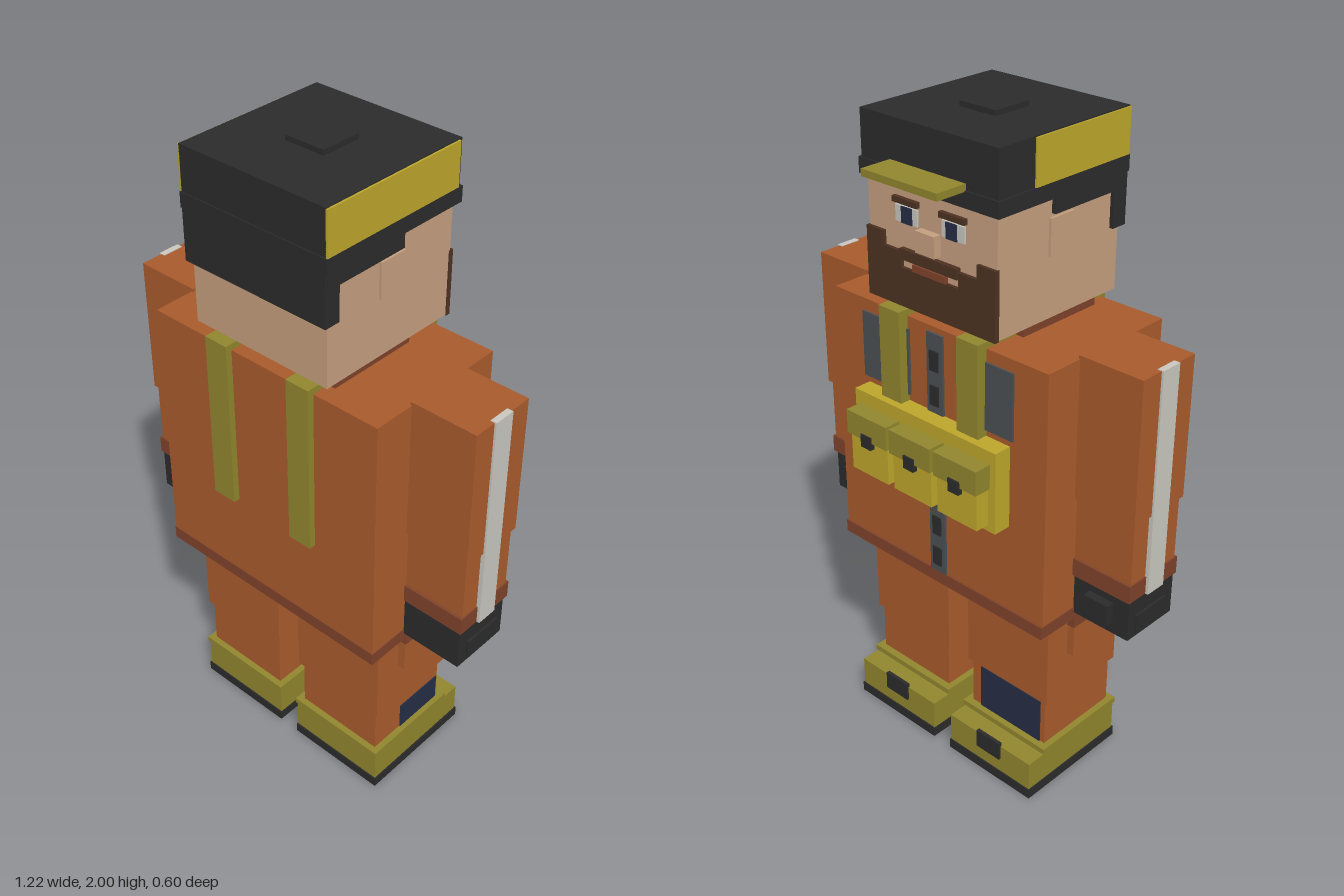
import * as THREE from 'three';

const mat = (name, color) => {
  const m = new THREE.MeshStandardMaterial({ color });
  m.name = name;
  return m;
};

export function createModel() {
  const model = new THREE.Group();
  model.name = 'workerFigure';
  const orange = mat('orange cloth', 0xa85a2c), rust = mat('rust trim', 0x7e422a);
  const olive = mat('olive', 0x90852d), yellow = mat('yellow', 0xbca52b);
  const black = mat('black', 0x2b2b2b), skin = mat('skin', 0xc49e7e);
  const brown = mat('brown hair', 0x4d3122), white = mat('pale grey', 0xc8c6be);
  const grey = mat('dark grey', 0x4c4f52), navy = mat('navy', 0x262e45);

  // Box given by its limits on each axis
  const box = (name, m, x0, x1, y0, y1, z0, z1) => {
    const mesh = new THREE.Mesh(new THREE.BoxGeometry(x1 - x0, y1 - y0, z1 - z0), m);
    mesh.position.set((x0 + x1) / 2, (y0 + y1) / 2, (z0 + z1) / 2);
    mesh.name = name;
    model.add(mesh);
  };
  // The same box on both sides of the body
  const pair = (name, m, x0, x1, ...rest) => {
    box(name + 'Left', m, x0, x1, ...rest);
    box(name + 'Right', m, -x1, -x0, ...rest);
  };

  // Head and face (the face looks along -z)
  box('head', skin, -0.233, 0.233, 1.475, 1.9, -0.19, 0.28);
  pair('ear', skin, 0.23, 0.241, 1.65, 1.755, 0.0, 0.09);
  box('nose', skin, -0.035, 0.035, 1.65, 1.71, -0.215, -0.188);
  pair('eyeWhite', white, 0.045, 0.125, 1.71, 1.755, -0.196, -0.189);
  pair('iris', navy, 0.062, 0.1, 1.71, 1.755, -0.2, -0.195);
  pair('eyebrow', brown, 0.04, 0.13, 1.762, 1.778, -0.203, -0.189);
  box('beard', brown, -0.235, 0.235, 1.473, 1.585, -0.2, -0.185);
  pair('sideburn', brown, 0.17, 0.235, 1.585, 1.67, -0.2, -0.185);
  pair('beardCheek', brown, 0.105, 0.17, 1.585, 1.63, -0.2, -0.185);
  box('moustache', brown, -0.105, 0.105, 1.61, 1.64, -0.205, -0.185);
  box('mouth', rust, -0.06, 0.06, 1.585, 1.605, -0.203, -0.185);

  // Cap
  box('capCrown', black, -0.245, 0.243, 1.81, 1.985, -0.2, 0.293);
  box('capBand', black, -0.25, 0.25, 1.81, 1.855, -0.205, 0.296);
  box('capBack', black, -0.245, 0.243, 1.66, 1.81, 0.245, 0.296);
  pair('capSideFlap', black, 0.225, 0.245, 1.765, 1.81, 0.01, 0.29);
  box('capSidePanelLeft', yellow, 0.242, 0.249, 1.855, 1.982, -0.19, 0.293);
  box('capSidePanelRight', yellow, -0.25, -0.244, 1.855, 1.982, -0.07, 0.293);
  box('capButton', black, -0.065, 0.062, 1.98, 2.0, -0.02, 0.105);
  box('capVisor', olive, -0.135, 0.135, 1.852, 1.872, -0.3, -0.19);

  // Jacket
  box('collar', rust, -0.21, 0.21, 1.42, 1.478, -0.065, 0.225);
  box('torso', orange, -0.4, 0.4, 0.64, 1.437, -0.18, 0.28);
  box('hem', rust, -0.402, 0.402, 0.615, 0.655, -0.186, 0.282);
  box('zipStrip', grey, -0.03, 0.03, 0.655, 1.42, -0.187, -0.179);
  for (let i = 0; i < 7; i++) {
    box('zipTooth', black, -0.016, 0.016, 0.68 + i * 0.105, 0.74 + i * 0.105, -0.192, -0.186);
  }
  pair('chestPatch', grey, 0.1, 0.285, 1.2, 1.4, -0.186, -0.179);

  // Arms and gloves
  pair('upperArm', orange, 0.395, 0.603, 1.02, 1.447, -0.06, 0.15);
  pair('forearm', orange, 0.39, 0.596, 0.82, 1.02, -0.05, 0.142);
  pair('cuff', rust, 0.388, 0.6, 0.77, 0.825, -0.058, 0.15);
  pair('glove', black, 0.4, 0.594, 0.638, 0.77, -0.048, 0.145);
  pair('thumb', black, 0.455, 0.54, 0.675, 0.74, -0.075, -0.045);
  pair('glovePad', black, 0.59, 0.601, 0.65, 0.712, -0.02, 0.11);
  pair('sleeveStripe', white, 0.59, 0.609, 0.77, 1.449, 0.012, 0.08);

  // Harness and pouches
  pair('strapBack', olive, 0.108, 0.186, 0.93, 1.456, 0.275, 0.3);
  pair('strapShoulder', olive, 0.108, 0.186, 1.43, 1.456, -0.213, 0.28);
  pair('strapChest', olive, 0.108, 0.186, 1.1, 1.456, -0.213, -0.178);
  box('harnessPanel', yellow, -0.272, 0.272, 0.93, 1.18, -0.236, -0.178);
  for (const x of [-0.172, 0, 0.172]) {
    box('pouch', yellow, x - 0.074, x + 0.074, 0.95, 1.075, -0.28, -0.234);
    box('pouchFlap', olive, x - 0.08, x + 0.08, 1.066, 1.14, -0.29, -0.234);
    box('pouchBuckle', black, x - 0.02, x + 0.02, 1.045, 1.085, -0.295, -0.275);
  }

  // Trousers
  box('waist', orange, -0.37, 0.37, 0.575, 0.617, -0.148, 0.25);
  pair('thigh', orange, 0.042, 0.36, 0.31, 0.58, -0.106, 0.205);
  pair('shin', orange, 0.054, 0.347, 0.14, 0.312, -0.096, 0.195);
  pair('sidePocket', orange, 0.355, 0.383, 0.455, 0.58, -0.02, 0.115);
  pair('pocketFlap', rust, 0.355, 0.39, 0.565, 0.603, -0.03, 0.12);
  box('shinPatchRight', navy, -0.33, -0.09, 0.15, 0.3, -0.1, -0.095);
  box('shinPatchLeft', navy, 0.345, 0.35, 0.15, 0.24, -0.09, 0.08);

  // Boots
  pair('boot', olive, 0.037, 0.363, 0.028, 0.14, -0.115, 0.21);
  pair('bootTop', olive, 0.033, 0.367, 0.132, 0.15, -0.12, 0.215);
  pair('bootToe', olive, 0.037, 0.363, 0.028, 0.128, -0.18, -0.11);
  pair('toePatch', black, 0.153, 0.247, 0.08, 0.14, -0.187, -0.175);
  pair('sole', black, 0.035, 0.367, 0, 0.032, -0.184, 0.214);

  return model;
}
